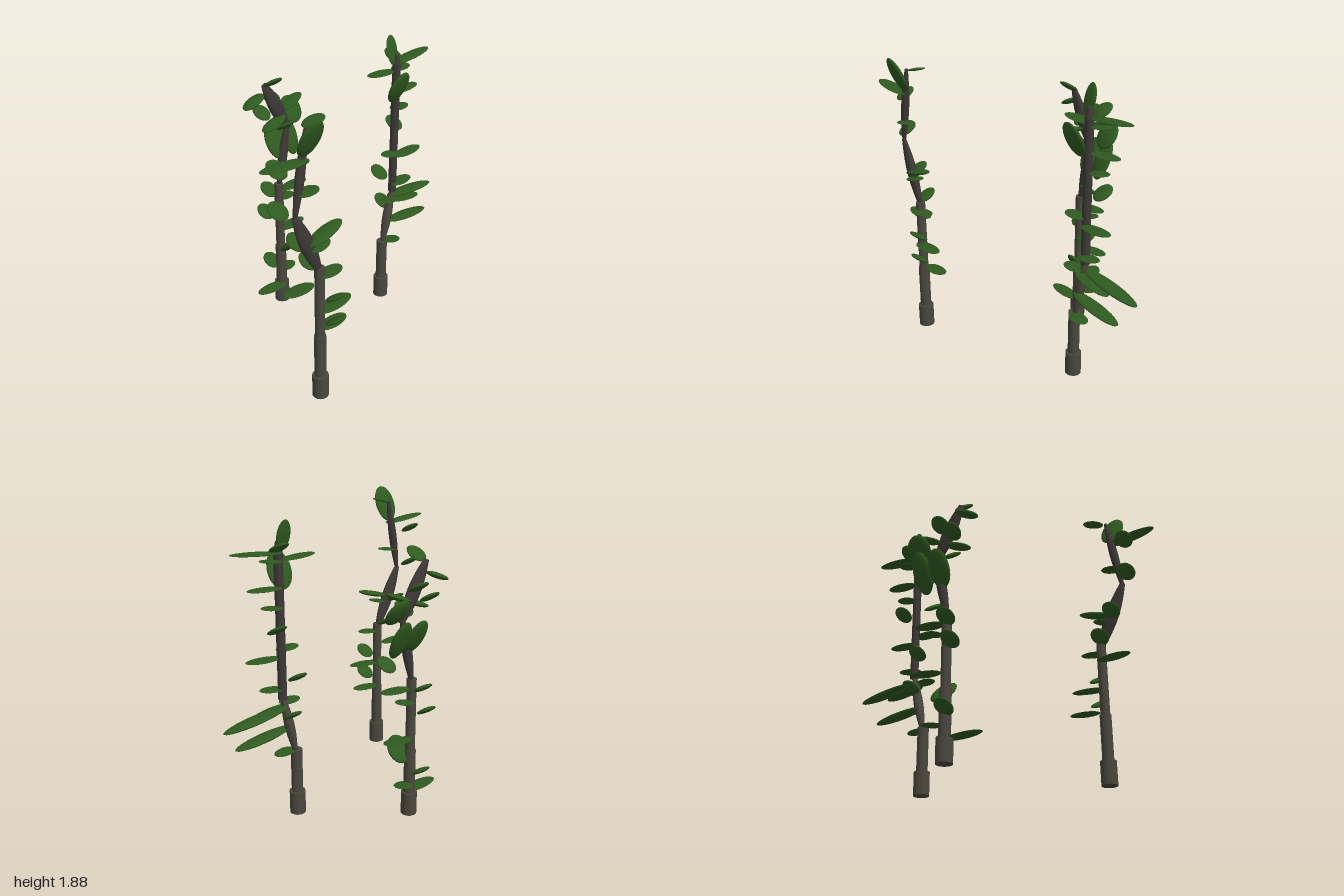
import * as THREE from 'three';

const barkMat = new THREE.MeshStandardMaterial({ color: 0x4a473e });
const twigMat = new THREE.MeshStandardMaterial({ color: 0x3d3836 });
const leafMat = new THREE.MeshStandardMaterial({ color: 0x2f5a20 });

const leafGeo = new THREE.SphereGeometry(0.5, 24, 14);

// Spindle of unit length and unit radius, swollen in the middle
const spindlePoints = [new THREE.Vector2(0, 0)];
for (let i = 0; i <= 10; i++) {
  spindlePoints.push(new THREE.Vector2(0.4 + 0.6 * Math.sin((Math.PI * i) / 10), i / 10));
}
spindlePoints.push(new THREE.Vector2(0, 1));
const spindleGeo = new THREE.LatheGeometry(spindlePoints, 20);

function add(parent, name, geo, mat) {
  const mesh = new THREE.Mesh(geo, mat);
  mesh.name = name;
  parent.add(mesh);
  return mesh;
}

// Upright round piece of trunk
function trunk(parent, name, x, z, y0, y1, r, mat = barkMat) {
  add(parent, name, new THREE.CylinderGeometry(r, r, y1 - y0, 24), mat).position.set(x, (y0 + y1) / 2, z);
}

// Swollen leaning twig from (x0, y0) to (x1, y1)
function twig(parent, x0, y0, x1, y1, z, rx, rz, mat = twigMat) {
  const mesh = add(parent, 'twig', spindleGeo, mat);
  mesh.position.set(x0, y0, z);
  mesh.scale.set(rx, Math.hypot(x1 - x0, y1 - y0), rz);
  mesh.rotation.z = -Math.atan2(x1 - x0, y1 - y0);
}

// Leaf reaching sideways, its width along z
function sideLeaf(parent, x0, y0, x1, y1, z, thick = 0.012) {
  const mesh = add(parent, 'sideLeaf', leafGeo, leafMat);
  mesh.position.set((x0 + x1) / 2, (y0 + y1) / 2, z);
  mesh.scale.set(Math.hypot(x1 - x0, y1 - y0), thick, 0.105);
  mesh.rotation.z = Math.atan2(y1 - y0, x1 - x0);
}

// Leaf reaching forward or back from (y0, z0) to (y1, z1), its width along x
function depthLeaf(parent, x, width, y0, z0, y1, z1, thick = 0.045) {
  const mesh = add(parent, 'depthLeaf', leafGeo, leafMat);
  mesh.position.set(x, (y0 + y1) / 2, (z0 + z1) / 2);
  mesh.scale.set(width, thick, Math.hypot(y1 - y0, z1 - z0));
  mesh.rotation.x = -Math.atan2(y1 - y0, z1 - z0);
}

// One plant: foot, lower trunk and all its leaves
function plant(name, x, z, { side, small, large }) {
  const g = new THREE.Group();
  g.name = name;
  trunk(g, 'foot', x, z, 0, 0.15, 0.05);
  trunk(g, 'lowerTrunk', x, z, 0.15, 0.44, 0.036);
  side.forEach((row) => sideLeaf(g, ...row));
  // Small leaves: x, y and +1 for forward or -1 for back
  small.forEach(([lx, ly, s]) =>
    depthLeaf(g, lx, 0.115, ly - 0.033, z + s * 0.005, ly + 0.037, z + s * 0.115, 0.03));
  large.forEach((row) => depthLeaf(g, ...row));
  return g;
}

function createModel() {
  const model = new THREE.Group();
  model.name = 'leafyPlants';

  // Plant on the right, nearest the front
  const front = plant('frontPlant', -0.58, 0.46, {
    side: [
      [-0.555, 0.46, -0.35, 0.47, 0.44], [-0.6, 0.62, -0.35, 0.635, 0.48],
      [-0.8, 0.79, -0.58, 0.78, 0.405], [-0.6, 0.86, -0.43, 0.872, 0.48],
      [-0.68, 1.1, -0.43, 1.17, 0.48, 0.035], [-0.67, 1.06, -0.53, 1.09, 0.48, 0.02],
      [-0.75, 1.43, -0.61, 1.443, 0.48], [-1, 1.65, -0.67, 1.62, 0.48, 0.017],
      [-0.66, 1.775, -0.52, 1.81, 0.435, 0.018],
    ],
    small: [
      [-0.517, 0.705, 1], [-0.517, 0.543, 1], [-0.605, 0.94, -1],
      [-0.695, 1.1, -1], [-0.82, 1.34, -1], [-0.82, 1.58, -1],
    ],
    large: [[-0.69, 0.16, 1.635, 0.465, 1.86, 0.565]],
  });
  trunk(front, 'upperTrunk', -0.58, 0.46, 0.44, 0.915, 0.03);
  twig(front, -0.58, 0.89, -0.76, 1.3, 0.46, 0.048, 0.028);
  twig(front, -0.76, 1.28, -0.67, 1.78, 0.46, 0.028, 0.025);

  // Plant in the middle, at the back
  const back = plant('backPlant', -0.05, -0.455, {
    side: [
      [-0.285, 0.155, -0.03, 0.145, -0.43], [-0.05, 0.22, 0.09, 0.235, -0.48],
      [-0.03, 0.54, 0.185, 0.555, -0.48], [-0.03, 0.78, 0.09, 0.795, -0.48],
      [-0.03, 0.86, 0.185, 0.873, -0.45], [-0.19, 1.335, -0.01, 1.4, -0.425, 0.035],
      [0, 1.41, 0.185, 1.485, -0.48, 0.035], [-0.285, 1.495, -0.13, 1.56, -0.485, 0.035],
    ],
    small: [
      [-0.085, 0.305, -1], [-0.12, 0.705, -1], [-0.085, 0.86, -1], [0.1, 1.02, 1],
      [-0.03, 1.34, 1], [-0.12, 1.42, -1], [-0.03, 1.495, -1], [-0.12, 1.655, 1],
    ],
    large: [
      [0, 0.165, 0.37, -0.465, 0.515, -0.35], [0.1, 0.135, 1.08, -0.455, 1.325, -0.565],
      [-0.025, 0.145, 1.09, -0.455, 1.31, -0.565], [0.13, 0.165, 1.295, -0.465, 1.455, -0.565],
    ],
  });
  trunk(back, 'upperTrunk', -0.05, -0.455, 0.44, 0.915, 0.03);
  twig(back, -0.05, 0.89, 0.04, 1.32, -0.455, 0.032, 0.028);
  twig(back, 0.045, 1.28, -0.145, 1.63, -0.455, 0.05, 0.027);

  // Plant on the left
  const left = plant('leftPlant', 0.48, 0.005, {
    side: [
      [0.48, 0.44, 0.62, 0.425, 0.03], [0.5, 0.595, 0.9, 0.55, 0.03, 0.035],
      [0.55, 0.755, 1, 0.705, -0.015, 0.035], [0.43, 0.77, 0.57, 0.76, 0.035],
      [0.52, 0.745, 0.81, 0.7, 0.03, 0.02], [0.54, 0.86, 0.71, 0.875, 0.03],
      [0.565, 1.06, 0.8, 1.072, 0.03], [0.43, 1.11, 0.58, 1.1, 0.035],
      [0.57, 1.38, 0.71, 1.392, -0.02], [0.57, 1.498, 0.8, 1.51, -0.02],
      [0.335, 1.665, 0.57, 1.655, -0.02], [0.57, 1.65, 0.71, 1.665, -0.02],
      [0.55, 1.695, 0.9, 1.73, -0.015, 0.018],
    ],
    small: [
      [0.545, 0.705, -1], [0.5, 0.94, -1], [0.635, 1.26, -1], [0.605, 1.735, -1],
    ],
    large: [
      [0.52, 0.165, 1.465, 0.025, 1.68, 0.115], [0.545, 0.095, 1.7, 0.005, 1.885, -0.038, 0.022],
    ],
  });
  twig(left, 0.485, 0.42, 0.57, 0.82, 0.005, 0.031, 0.032, barkMat);
  trunk(left, 'upperTrunk', 0.57, 0.005, 0.8, 1.7, 0.027, twigMat);
  add(left, 'trunkTip', new THREE.CylinderGeometry(0.014, 0.027, 0.06, 20), twigMat).position.set(0.57, 1.73, 0.005);

  model.add(front, back, left);
  return model;
}

export { createModel };
